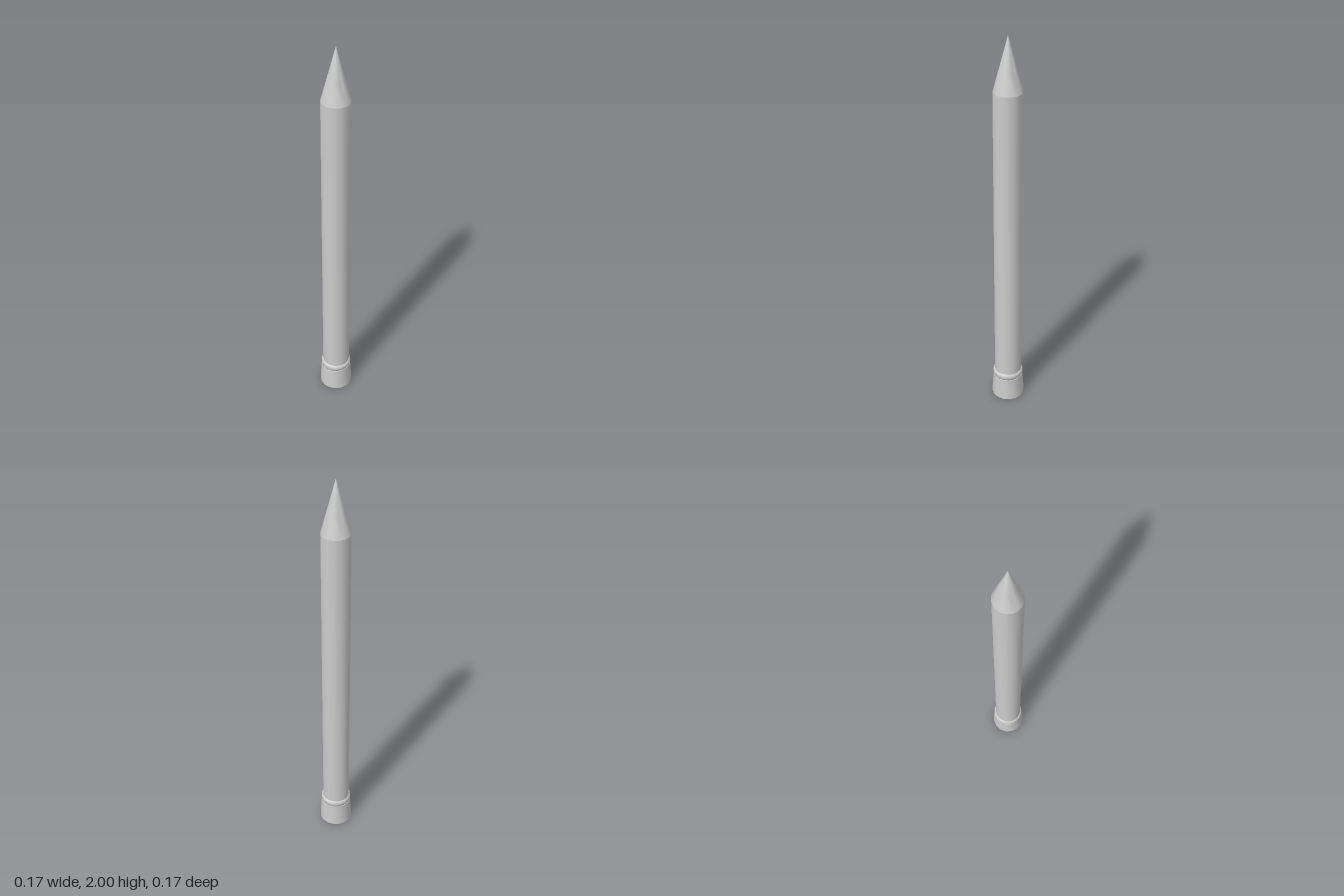
import * as THREE from 'three';
import { mergeVertices, toCreasedNormals } from 'three/addons/utils/BufferGeometryUtils.js';

const SIDES = 16;

export function createModel() {
  const group = new THREE.Group();
  const material = new THREE.MeshStandardMaterial({ color: 0xcccccc });

  // Turns a [radius, y] profile, listed from bottom to top, around the y axis.
  function turned(name, profile, crease) {
    const points = profile.map(([r, y]) => new THREE.Vector2(r, y));
    let geometry = new THREE.LatheGeometry(points, SIDES, Math.PI / SIDES);
    geometry.deleteAttribute('uv');
    geometry.deleteAttribute('normal');
    geometry = mergeVertices(geometry, 1e-5);
    geometry.computeVertexNormals();
    geometry = toCreasedNormals(geometry, crease);
    const mesh = new THREE.Mesh(geometry, material);
    mesh.name = name;
    group.add(mesh);
  }

  // Flared eraser with a flat underside
  turned('eraser', [[0, 0], [0.085, 0], [0.084, 0.03], [0.078, 0.125], [0, 0.125]], 0.9);

  // Rounded collar holding the eraser
  turned('collar', [[0, 0.124], [0.074, 0.124], [0.078, 0.13], [0.079, 0.142],
    [0.078, 0.153], [0.074, 0.159], [0, 0.159]], 1.1);

  // Long straight shaft
  turned('shaft', [[0, 0.15], [0.07, 0.15], [0.07, 1.74], [0, 1.74]], 0.9);

  // Sharpened point
  turned('point', [[0, 1.74], [0.07, 1.74], [0.043, 1.84], [0, 2]], 0.9);

  return group;
}
